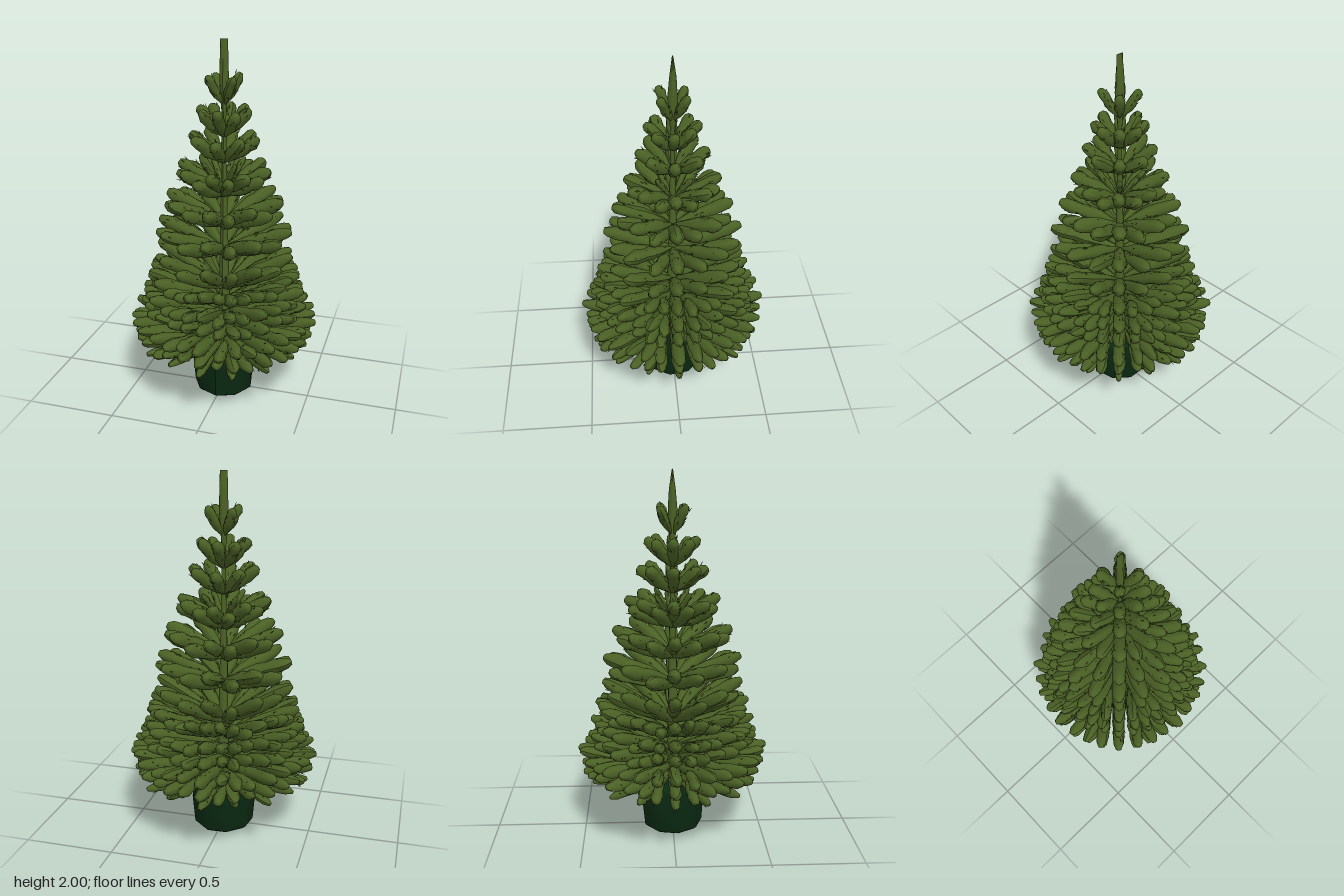
import * as THREE from 'three';
import { mergeGeometries } from 'three/addons/utils/BufferGeometryUtils.js';

const V = (x, y, z) => new THREE.Vector3(x, y, z);
const UP = V(0, 1, 0);

// Small seeded generator for needle and bark irregularity
let seed = 7;
const rnd = () => {
  seed = (seed * 16807) % 2147483647;
  return seed / 2147483647;
};
const jitter = (amount) => (rnd() * 2 - 1) * amount;

// Lathe whose vertices are pushed in and out a little
function roughLathe(profile, sides, amount) {
  const geo = new THREE.LatheGeometry(profile.map(([r, y]) => new THREE.Vector2(r, y)), sides);
  const pos = geo.attributes.position, n = profile.length;
  const push = Array.from({ length: sides * n }, () => 1 + jitter(amount));
  for (let i = 0; i <= sides; i++) {
    for (let j = 0; j < n; j++) {
      const k = i * n + j, s = push[(i % sides) * n + j];
      pos.setXYZ(k, pos.getX(k) * s, pos.getY(k), pos.getZ(k) * s);
    }
  }
  geo.computeVertexNormals();
  return geo;
}

// Point a geometry that grows along +y from one point towards another
function aim(geo, from, to) {
  const q = new THREE.Quaternion().setFromUnitVectors(UP, to.clone().sub(from).normalize());
  return geo.applyQuaternion(q).translate(from.x, from.y, from.z);
}

// Bushy shoot: thin root, thick body, blunt faceted tip and loose needles
const SHOOT = [[0.2, 0], [0.45, 0.13], [0.85, 0.32], [1, 0.5], [0.95, 0.65], [1.03, 0.8], [0.85, 0.92], [0.45, 0.99], [0, 1]];
function shoot(from, to, thick, needles) {
  const len = from.distanceTo(to);
  const body = roughLathe(SHOOT.map(([r, t]) => [r * thick, t * len]), 7, 0.15);
  const parts = [body.rotateY(rnd() * 6)];
  for (let i = 0; i < needles; i++) {
    const a = rnd() * Math.PI * 2, y = len * (0.3 + rnd() * 0.6);
    const needle = new THREE.ConeGeometry(0.004, 0.024, 3).translate(0, 0.012, 0);
    const c = Math.cos(a) * thick, s = Math.sin(a) * thick;
    parts.push(aim(needle, V(c * 0.88, y, s * 0.88), V(c * 1.1, y + 0.02, s * 1.1)));
  }
  return aim(mergeGeometries(parts), from, to);
}

const polar = (a, r, y) => V(Math.cos(a) * r, y, -Math.sin(a) * r);

// Tiers: root height, tip height, tip radius, count, thickness, first angle, drop of the limbs between, forked
const DIAGONAL = Math.PI / 4;
const TIERS = [
  [1.67, 1.815, 0.1, 4, 0.026, DIAGONAL],
  [1.50, 1.645, 0.14, 8, 0.031, 0],
  [1.36, 1.50, 0.187, 8, 0.034, 0],
  [1.21, 1.37, 0.13, 4, 0.016, DIAGONAL],
  [1.20, 1.335, 0.255, 8, 0.036, 0, 0.03],
  [1.03, 1.165, 0.325, 8, 0.038, 0, 0.03],
  [0.87, 1.005, 0.378, 8, 0.038, 0, 0.035],
  [0.65, 0.865, 0.385, 8, 0.037, 0, 0.025],
  [0.56, 0.75, 0.425, 8, 0.036, 0, 0.015, true],
  [0.48, 0.655, 0.455, 8, 0.036, 0, 0.015, true],
  [0.415, 0.57, 0.47, 8, 0.036, 0, 0.01, true],
  [0.37, 0.48, 0.53, 8, 0.036, 0, 0.005, true],
  [0.335, 0.395, 0.51, 8, 0.035, 0, 0.005, true],
  [0.31, 0.33, 0.485, 8, 0.027, 0, 0],
];

function tier([rootY, tipY, radius, count, thick, phase, drop, forked]) {
  const parts = [];
  const step = Math.PI * 2 / count;
  for (let i = 0; i < count; i++) {
    const a = phase + i * step;
    parts.push(shoot(polar(a, 0.01, rootY), polar(a, radius, tipY + jitter(0.008)), thick, 9));
    if (drop === undefined) continue;
    // Lower limb halfway to the next main branch
    const b = a + step / 2;
    const root = polar(b, 0.01, rootY - drop);
    const end = polar(b + jitter(0.03), radius * 0.985, tipY - drop + jitter(0.015));
    parts.push(shoot(root, end, thick * 0.97, 8));
    if (!forked) continue;
    // Side shoots of the limb
    for (const side of [-1, 1]) {
      const fork = root.clone().lerp(end, 0.36);
      const tip = polar(b + side * (0.185 + jitter(0.025)), radius * (0.975 + jitter(0.02)), tipY - drop + jitter(0.03));
      parts.push(shoot(fork, tip, thick * 0.88, 6));
    }
  }
  return mergeGeometries(parts);
}

export function createModel() {
  seed = 7;
  const model = new THREE.Group();
  const needleGreen = new THREE.MeshStandardMaterial({ color: 0x4b6125 });
  needleGreen.name = 'needle green';
  const potGreen = new THREE.MeshStandardMaterial({ color: 0x0a2812 });
  potGreen.name = 'pot green';

  const add = (name, geo, mat) => {
    const mesh = new THREE.Mesh(geo, mat);
    mesh.name = name;
    model.add(mesh);
  };

  // Faceted, slightly bulging pot with a closed top
  add('pot', roughLathe([[0, 0], [0.155, 0.006], [0.17, 0.02], [0.181, 0.18], [0.178, 0.25], [0.172, 0.275], [0, 0.275]], 9, 0.025), potGreen);

  // Slender trunk
  add('trunk', roughLathe([[0.036, 0.25], [0.03, 0.6], [0.022, 1.0], [0.014, 1.35], [0.01, 1.7]], 7, 0.08), needleGreen);

  // Leader: thick shoot flattened to a wedge at the very top
  const leader = roughLathe([[0.011, 1.6], [0.02, 1.7], [0.025, 1.8], [0.024, 1.9], [0.021, 2.0], [0, 2.0]], 8, 0.06);
  const p = leader.attributes.position;
  for (let i = 0; i < p.count; i++) {
    const t = THREE.MathUtils.clamp((p.getY(i) - 1.85) / 0.15, 0, 1);
    p.setZ(i, p.getZ(i) * (1 - 0.85 * t));
  }
  leader.computeVertexNormals();
  add('leader', leader, needleGreen);

  // Whorls of branches
  TIERS.forEach((t, i) => add('branchTier' + (i + 1), tier(t), needleGreen));

  return model;
}
